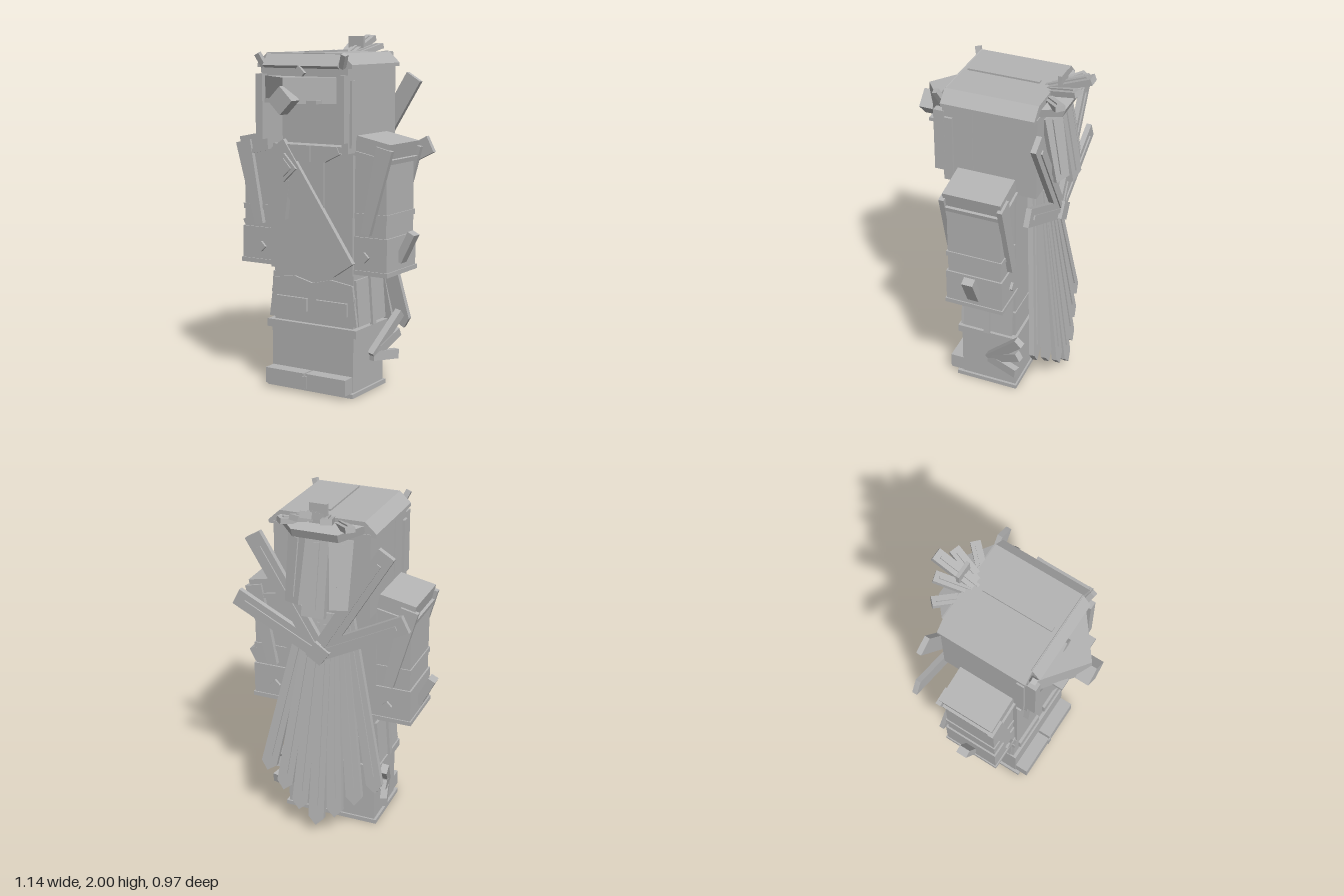
import * as THREE from 'three';

const grey = new THREE.MeshStandardMaterial({ color: 0xb4b4b4, flatShading: true });
grey.name = 'stone grey';

export function createModel() {
  const root = new THREE.Group();
  const add = (name, geo) => {
    const m = new THREE.Mesh(geo, grey);
    m.name = name;
    root.add(m);
    return m;
  };
  // Box given by its low and high limits
  const block = (name, x0, x1, y0, y1, z0, z1) => {
    const m = add(name, new THREE.BoxGeometry(x1 - x0, y1 - y0, z1 - z0));
    m.position.set((x0 + x1) / 2, (y0 + y1) / 2, (z0 + z1) / 2);
    return m;
  };
  // Square plate standing on its corner
  const diamond = (name, x, y, z, side, depth, turn = Math.PI / 4) => {
    const m = add(name, new THREE.BoxGeometry(side, side, depth));
    m.position.set(x, y, z);
    m.rotation.z = turn;
    return m;
  };
  // Flat bar from a to b; its flat side faces the given direction, its end may be pointed
  const bar = (name, a, b, w, t, face = [0, 0, 1], point = 0, w2 = w) => {
    const A = new THREE.Vector3(...a), B = new THREE.Vector3(...b);
    const Y = B.clone().sub(A), len = Y.length();
    Y.normalize();
    const X = Y.clone().cross(new THREE.Vector3(...face)).normalize();
    const Z = X.clone().cross(Y);
    const s = new THREE.Shape();
    s.moveTo(-w / 2, 0); s.lineTo(w / 2, 0); s.lineTo(w2 / 2, len - point);
    if (point) s.lineTo(0, len); else s.lineTo(-w2 / 2, len);
    if (point) s.lineTo(-w2 / 2, len - point);
    const geo = new THREE.ExtrudeGeometry(s, { depth: t, bevelEnabled: false });
    geo.translate(0, 0, -t / 2);
    geo.applyMatrix4(new THREE.Matrix4().makeBasis(X, Y, Z).setPosition(A));
    return add(name, geo);
  };
  // Feather: bar with a raised centre rib on the faced side
  const feather = (name, a, b, w, t, face, point = 0, w2 = w) => {
    bar(name, a, b, w, t, face, point, w2);
    const A = new THREE.Vector3(...a), B = new THREE.Vector3(...b);
    const n = new THREE.Vector3(...face);
    const Y = B.clone().sub(A).normalize();
    n.addScaledVector(Y, -n.dot(Y)).normalize().multiplyScalar(t / 2);
    const p = A.clone().lerp(B, 0.05).add(n), q = A.clone().lerp(B, 0.9).add(n);
    bar(name + 'Rib', p.toArray(), q.toArray(), w * 0.25, 0.016, face);
  };
  // Prism of a side outline in x,y pushed along z
  const prism = (name, pts, z0, z1) => {
    const geo = new THREE.ExtrudeGeometry(new THREE.Shape(pts.map(p => new THREE.Vector2(...p))),
      { depth: z1 - z0, bevelEnabled: false });
    geo.translate(0, 0, z0);
    return add(name, geo);
  };

  // Boots and legs
  block('sole', -0.285, 0.285, 0, 0.025, -0.175, 0.2);
  block('boots', -0.27, 0.27, 0.02, 0.36, -0.165, 0.17);
  block('bootCuff', -0.295, 0.295, 0.34, 0.385, -0.175, 0.185);
  block('legs', -0.26, 0.26, 0.38, 0.72, -0.16, 0.155);
  block('bootSeam', -0.015, 0.015, 0.03, 0.1, 0.25, 0.256);

  // Belt, hip band and torso
  block('belt', -0.275, 0.275, 0.5, 0.56, -0.165, 0.165);
  prism('frontSkirt', [[-0.29, 0.4], [0.29, 0.4], [0.26, 0.63], [0.12, 0.65], [0, 0.62], [-0.12, 0.65], [-0.26, 0.63]], 0.15, 0.168);
  block('torso', -0.27, 0.27, 0.69, 1.37, -0.165, 0.18);
  block('chestPanel', -0.09, 0.09, 0.77, 1.32, 0.18, 0.19);
  prism('collar', [[-0.18, 1.4], [-0.2, 1.36], [-0.1, 1.31], [0.1, 1.31], [0.2, 1.36], [0.18, 1.4]], 0.16, 0.205);
  block('collarClasp', -0.015, 0.015, 1.31, 1.4, 0.2, 0.215);

  // Sash with its brooch and hanging strap
  bar('sash', [-0.225, 1.385, 0.2], [0.225, 0.72, 0.2], 0.155, 0.03);
  diamond('brooch', -0.15, 1.27, 0.22, 0.115, 0.02, 0.75);
  diamond('broochCentre', -0.15, 1.27, 0.232, 0.075, 0.012, 0.75);
  bar('broochStrap', [-0.15, 1.2, 0.2], [-0.18, 0.98, 0.2], 0.06, 0.034);

  for (const s of [1, -1]) {
    const span = (name, x0, x1, ...r) => block(name, ...(s > 0 ? [x0, x1] : [-x1, -x0]), ...r);

    // Toe caps, pouches and leg side trim
    span('toeCap', 0.006, 0.265, 0.025, 0.115, 0.16, 0.25);
    span('pouch', 0.03, 0.235, 0.455, 0.53, 0.16, 0.185);
    bar('sideSkirt', [s * 0.265, 0.66, 0], [s * 0.285, 0.4, 0], 0.3, 0.02, [s, 0, 0]);
    bar('sideTrim', [s * 0.28, 0.68, 0], [s * 0.3, 0.39, 0], 0.035, 0.02, [s, 0, 0]);

    // Arms with bands and cuffs
    span('arm', 0.27, 0.465, 0.72, 1.38, -0.155, 0.155);
    span('armBand', 0.26, 0.472, 1.01, 1.04, -0.162, 0.162);
    span('cuff', 0.255, 0.475, 0.72, 0.91, -0.165, 0.165);
    span('cuffRim', 0.25, 0.482, 0.7, 0.725, -0.172, 0.172);
    for (const f of [1, -1]) {
      diamond('cuffDiamond', s * 0.34, 0.8, f * 0.17, 0.042, 0.02);
      bar('armStrap', [s * 0.46, 1.4, f * 0.165], [s * 0.35, 0.93, f * 0.172], 0.1, 0.03, [0, 0, f], 0, 0.055);
    }
    bar('cuffFeather', [s * 0.47, 0.77, 0], [s * 0.55, 0.93, 0], 0.065, 0.045, [s, 0, 0]);

    // Shoulder pad
    const pad = add('shoulderPad', new THREE.BoxGeometry(0.21, 0.1, 0.33));
    pad.position.set(s * 0.38, 1.395, 0);
    pad.rotation.z = -s * 0.2;
    const rim = add('shoulderPadRim', new THREE.BoxGeometry(0.235, 0.025, 0.355));
    rim.position.set(s * 0.375, 1.35, 0);
    rim.rotation.z = -s * 0.2;

    // Small feathers at the ankles
    for (const [y, z] of [[0.42, -0.22], [0.31, -0.215], [0.18, -0.2]])
      bar('ankleFeather', [s * 0.285, 0.2, -0.01], [s * (y > 0.4 ? 0.35 : 0.34), y, z], 0.055, 0.04, [s, 0, 0]);

    // Hood sides, cheek strips and brow ends
    span('hoodSide', 0.24, 0.28, 1.37, 1.84, 0.08, 0.25);
    span('cheekFlap', 0.24, 0.285, 1.43, 1.79, 0.24, 0.3);
    span('cheekStrip', 0.255, 0.295, 1.4, 1.76, 0.19, 0.235);
    bar('browHorn', [s * 0.25, 1.83, 0.26], [s * 0.28, 1.9, 0.285], 0.03, 0.03);
    span('beakCorner', 0.1, 0.165, 1.64, 1.66, 0.28, 0.385);

    // Wide feathers fanning from the back knot
    feather('wingFeather', [0, 1.14, -0.315], [s * 0.38, 1.765, -0.315], 0.1, 0.03, [0, 0, -1]);
    feather('wingFeather', [0, 1.14, -0.315], [s * 0.49, 1.39, -0.315], 0.1, 0.03, [0, 0, -1]);

    // Short crest and nape plates beside the centre
    feather('crestFeather', [s * 0.02, 1.87, -0.2], [s * 0.09, 1.935, -0.43], 0.06, 0.03, [0, 1, 0]);
    feather('crestFeather', [s * 0.05, 1.86, -0.22], [s * 0.2, 1.89, -0.375], 0.055, 0.03, [0, 1, 0]);
    feather('napePlate', [s * 0.12, 1.8, -0.3], [s * 0.13, 1.43, -0.365], 0.13, 0.03, [s * 0.4, 0, -1], 0, 0.1);
  }

  // Head and open hood with a recessed face
  block('head', -0.275, 0.275, 1.365, 1.84, -0.28, 0.1);
  block('chinShelf', -0.24, 0.24, 1.365, 1.4, 0.08, 0.2);
  block('hoodBrow', -0.26, 0.26, 1.76, 1.84, 0.08, 0.25);

  // Sloped hat with ridge, front brim and back slope
  prism('hat', [[-0.305, 1.825], [0.305, 1.825], [0.305, 1.845], [0.24, 1.905], [-0.24, 1.905], [-0.305, 1.845]], -0.275, 0.25);
  block('hatRidge', -0.015, 0.015, 1.9, 1.915, -0.19, 0.22);
  bar('frontBrim', [0, 1.9, 0.235], [0, 1.83, 0.285], 0.48, 0.025, [0, 0.5, 1]);
  const slope = prism('backSlope', [[-0.24, 0], [0.24, 0], [0.13, 0.1], [-0.13, 0.1]], 0, 0.05);
  slope.rotation.x = -Math.PI / 2 - 0.35;
  slope.position.set(0, 1.84, -0.27);
  diamond('browDiamond', 0, 1.8, 0.295, 0.055, 0.02);

  // Beak: a wedge with a diamond tip
  const beak = prism('beak', [[-0.24, -0.27], [0.24, -0.27], [0, -0.455]].reverse(), 1.64, 1.78);
  beak.rotation.x = -Math.PI / 2;
  diamond('beakTip', 0, 1.66, 0.447, 0.108, 0.078);

  // Crest and nape centre
  feather('crestFeather', [0, 1.87, -0.2], [0, 1.98, -0.48], 0.068, 0.035, [0, 1, 0]);
  block('crestClip', -0.05, 0.05, 1.88, 1.99, -0.325, -0.305);
  feather('napePlate', [0, 1.8, -0.32], [0, 1.38, -0.395], 0.13, 0.035, [0, 0, -1]);

  // Knot and long tail feathers
  diamond('backKnot', 0, 1.14, -0.33, 0.1, 0.045, 0.6);
  const tail = [[0, 0.06, -0.385], [0.11, 0.13, -0.37], [0.22, 0.22, -0.34], [0.335, 0.31, -0.31]];
  tail.forEach(([x, y, z], i) => {
    for (const s of i ? [1, -1] : [1])
      feather('tailFeather', [s * x * 0.35, 1.33, -0.215 + i * 0.006], [s * x, y, z], 0.07, 0.03, [0, 0, -1], 0.05, 0.095);
  });
  return root;
}
